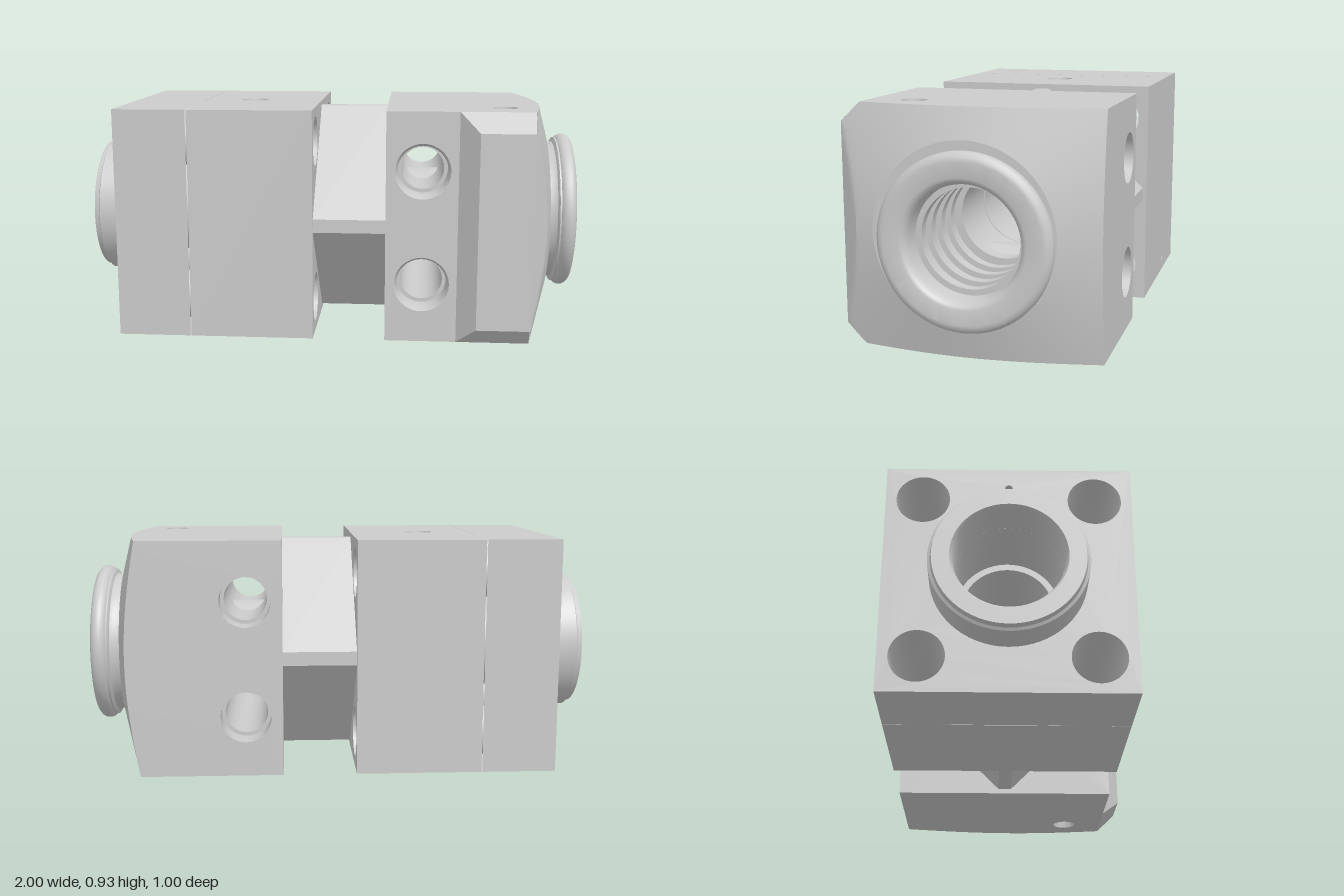
import * as THREE from 'three';
import { toCreasedNormals } from 'three/addons/utils/BufferGeometryUtils.js';

const MAT = new THREE.MeshStandardMaterial({ color: 0xcccccc, side: THREE.DoubleSide });
const CY = 0.4625, CZ = -0.04, H = 0.925;
const BACK = -0.5, FRONT = 0.42;

function add(parent, name, geometry) {
  const mesh = new THREE.Mesh(geometry, MAT);
  mesh.name = name;
  parent.add(mesh);
}

const rect = (u0, v0, u1, v1) => [[u0, v0], [u1, v0], [u1, v1], [u0, v1]];

// Flat face with round holes. Axis x maps (u,v) to (z,y), y to (x,z), z to (x,y).
function panel(parent, name, axis, at, dir, outline, holes = []) {
  const shape = new THREE.Shape(outline.map(p => new THREE.Vector2(...p)));
  for (const [u, v, r] of holes) shape.holes.push(new THREE.Path().absarc(u, v, r, 0, Math.PI * 2, true));
  const g = new THREE.ShapeGeometry(shape, 24);
  const p = g.attributes.position;
  for (let i = 0; i < p.count; i++) {
    const u = p.getX(i), v = p.getY(i);
    if (axis === 'x') p.setXYZ(i, at, v, u);
    else if (axis === 'y') p.setXYZ(i, u, at, v);
    else p.setXYZ(i, u, v, at);
  }
  // The x and y mappings turn the winding over
  const natural = axis === 'z' ? 1 : -1;
  if (natural !== dir) g.index.array.reverse();
  g.computeVertexNormals();
  add(parent, name, g);
}

// Turned surface about an axis through (a, b); profile holds [radius, position].
function turned(parent, name, axis, a, b, profile, seg = 48) {
  let g = new THREE.LatheGeometry(profile.map(p => new THREE.Vector2(...p)), seg);
  g = toCreasedNormals(g, 0.65);
  if (axis === 'x') g.rotateZ(-Math.PI / 2).translate(0, a, b);
  else if (axis === 'y') g.translate(a, 0, b);
  else g.rotateX(Math.PI / 2).translate(a, b, 0);
  add(parent, name, g);
}

function quad(parent, name, a, b, c, d) {
  const g = new THREE.BufferGeometry();
  g.setAttribute('position', new THREE.Float32BufferAttribute([a, b, c, a, c, d].flat(), 3));
  g.computeVertexNormals();
  add(parent, name, g);
}

// End face of the right block: a shallow cone cut by a slanted plane at the front
const capX = (z, y) => Math.min(0.883 - 0.28 * Math.max(0, Math.hypot(z, y - CY) - 0.347), 0.8 + 0.8 * (0.5 - z));

// Sampled edge of the end face between two (z, y) points
function capEdge(z0, y0, z1, y1, n = 24) {
  return Array.from({ length: n + 1 }, (_, i) => {
    const z = z0 + (z1 - z0) * i / n, y = y0 + (y1 - y0) * i / n;
    return [capX(z, y), y, z];
  });
}

function leftBlock() {
  const g = new THREE.Group();
  g.name = 'leftBlock';
  const bolts = [];
  for (const sy of [-1, 1]) for (const sz of [-1, 1]) bolts.push([CZ + sz * 0.32, CY + sy * 0.325, 0.1]);
  const x0 = -0.855, xs = -0.56, x1 = -0.06;
  panel(g, 'outerFace', 'x', x0, -1, rect(BACK, 0, FRONT, H), [...bolts, [CZ, CY, 0.2], [CZ, 0.84, 0.015]]);
  panel(g, 'innerFace', 'x', x1, 1, rect(BACK, 0, FRONT, H), [...bolts, [CZ, CY, 0.175]]);
  for (const [z, y, r] of bolts) turned(g, 'boltHole', 'x', y, z, [[r, x1], [r, x0]], 32);
  turned(g, 'pinHole', 'x', 0.84, CZ, [[0, x0 + 0.06], [0.015, x0 + 0.06], [0.015, x0]], 16);
  // End plate and body are two slabs butted together
  for (const [name, a, b, drilled] of [['endPlate', x0, xs - 0.002, false], ['body', xs + 0.002, x1, true]]) {
    panel(g, name + 'Top', 'y', H, 1, rect(a, BACK, b, FRONT), drilled ? [[-0.35, CZ, 0.057]] : []);
    panel(g, name + 'Bottom', 'y', 0, -1, rect(a, BACK, b, FRONT));
    panel(g, name + 'Front', 'z', FRONT, 1, rect(a, 0, b, H));
    panel(g, name + 'Back', 'z', BACK, -1, rect(a, 0, b, H));
  }
  turned(g, 'topPort', 'y', -0.35, CZ, [[0, 0.77], [0.025, 0.77], [0.025, 0.87], [0.05, 0.88], [0.057, H]], 24);
  // Hollow spigot with its stepped bore
  turned(g, 'spigot', 'x', CY, CZ, [
    [0.175, x1], [0.175, -0.6], [0.2, -0.6], [0.2, -0.985], [0.21, -1],
    [0.273, -1], [0.278, -0.98], [0.288, -0.975], [0.288, x0]], 64);
  return g;
}

function rightBlock() {
  const g = new THREE.Group();
  g.name = 'rightBlock';
  const x0 = 0.23, xa = 0.515, xb = 0.59, yl = 0.075, yh = H - 0.075, zf = 0.5;
  const bolts = [0.235, 0.69].map(y => [0.375, y]);
  panel(g, 'innerFace', 'x', x0, -1, rect(BACK, 0, FRONT, H), [[CZ, CY, 0.175]]);
  panel(g, 'frontFace', 'z', FRONT, 1, rect(x0, 0, xa, H), bolts.map(b => [...b, 0.11]));
  panel(g, 'backFace', 'z', BACK, -1,
    [[x0, H], [x0, 0], ...capEdge(BACK, 0, BACK, H).map(p => [p[0], p[1]])], bolts.map(b => [...b, 0.1]));
  for (const [x, y] of bolts) {
    turned(g, 'boltHole', 'z', x, y, [[0.1, BACK], [0.1, -0.4], [0.085, -0.4], [0.085, 0.32], [0.1, 0.32], [0.1, 0.4], [0.11, FRONT]], 32);
  }
  for (const [name, y, yIn, dir] of [['top', H, yh, 1], ['bottom', 0, yl, -1]]) {
    const edge = capEdge(FRONT, y, BACK, y).map(p => [p[0], p[2]]);
    panel(g, name + 'Face', 'y', y, dir, [[x0, BACK], [x0, FRONT], ...edge], [[0.7, 0.25, 0.05]]);
    const s = y - dir * 0.05, d = y - dir * 0.15;
    turned(g, name + 'Port', 'y', 0.7, 0.25, [[0, d], [0.03, d], [0.03, s], [0.045, s], [0.05, y]], 24);
    // Slanted edge of the raised front pad
    const q = [[xa, y, FRONT], [xb, yIn, zf], [capX(zf, yIn), yIn, zf], [capX(FRONT, y), y, FRONT]];
    quad(g, name + 'PadChamfer', ...(dir > 0 ? q : q.reverse()));
  }
  panel(g, 'padFace', 'z', zf, 1, [[xb, yh], [xb, yl], ...capEdge(zf, yl, zf, yh).map(p => [p[0], p[1]])]);
  quad(g, 'padSideChamfer', [xa, 0, FRONT], [xb, yl, zf], [xb, yh, zf], [xa, H, FRONT]);

  // Conical end face, spread from the central circle to the block outline
  const corners = [[zf, yh], [FRONT, H], [BACK, H], [BACK, 0], [FRONT, 0], [zf, yl]];
  const TAU = Math.PI * 2;
  const angles = corners.map(([z, y]) => (Math.atan2(y - CY, z) + TAU) % TAU);
  for (let i = 0; i < 96; i++) angles.push(i * TAU / 96);
  angles.sort((a, b) => a - b);
  const rows = 14, pos = [], idx = [];
  for (const t of [...angles, TAU]) {
    const c = Math.cos(t), s = Math.sin(t);
    const reach = Math.min(0.5 / Math.max(1e-6, Math.abs(c)), CY / Math.max(1e-6, Math.abs(s)),
      c > 0 ? 0.885 / (c + Math.abs(s)) : 9);
    for (let j = 0; j <= rows; j++) {
      const r = 0.347 + (reach - 0.347) * j / rows, z = r * c, y = CY + r * s;
      pos.push(capX(z, y), y, z);
    }
  }
  for (let i = 0; i < angles.length; i++) for (let j = 0; j < rows; j++) {
    const a = i * (rows + 1) + j, b = a + rows + 1;
    idx.push(a, b, a + 1, b, b + 1, a + 1);
  }
  const cone = new THREE.BufferGeometry();
  cone.setAttribute('position', new THREE.Float32BufferAttribute(pos, 3));
  cone.setIndex(idx);
  add(g, 'conicalEnd', toCreasedNormals(cone, 0.35));
  const circle = Array.from({ length: 96 }, (_, i) => [0.347 * Math.cos(i * TAU / 96), CY + 0.347 * Math.sin(i * TAU / 96)]);
  panel(g, 'endSeat', 'x', 0.883, 1, circle, [[-0.035, CY, 0.25]]);

  // Rounded collar and the grooved bore behind it
  const profile = [[0.285, 0.88], [0.285, 0.91], [0.292, 0.925], [0.31, 0.932]];
  for (let i = 0; i <= 6; i++) {
    const t = -Math.PI / 3 + i * Math.PI * 5 / 36;
    profile.push([0.293 + 0.032 * Math.cos(t), 0.967 + 0.033 * Math.sin(t)]);
  }
  profile.push([0.29, 1], [0.235, 1], [0.222, 0.995], [0.212, 0.98], [0.207, 0.96]);
  for (let x = 0.9; x > 0.6; x -= 0.1) profile.push([0.207, x], [0.185, x], [0.185, x - 0.04], [0.207, x - 0.04]);
  profile.push([0.207, 0.5], [0.174, 0.5], [0.174, x0]);
  turned(g, 'collar', 'x', CY, -0.035, profile, 72);
  return g;
}

// Diamond-shaped link with blunted corners and a through bore
function link() {
  const R = 0.4425, f = 0.027;
  const pts = [[R, -f], [R, f], [f, R], [-f, R], [-R, f], [-R, -f], [-f, -R], [f, -R]];
  const shape = new THREE.Shape(pts.map(p => new THREE.Vector2(...p)));
  shape.holes.push(new THREE.Path().absarc(0, 0, 0.174, 0, Math.PI * 2, true));
  const g = new THREE.ExtrudeGeometry(shape, { depth: 0.29, bevelEnabled: false, curveSegments: 32 });
  return g.rotateY(Math.PI / 2).translate(-0.06, CY, CZ);
}

export function createModel() {
  const model = new THREE.Group();
  model.name = 'coupling';
  model.add(leftBlock(), rightBlock());
  add(model, 'diamondLink', link());
  return model;
}
